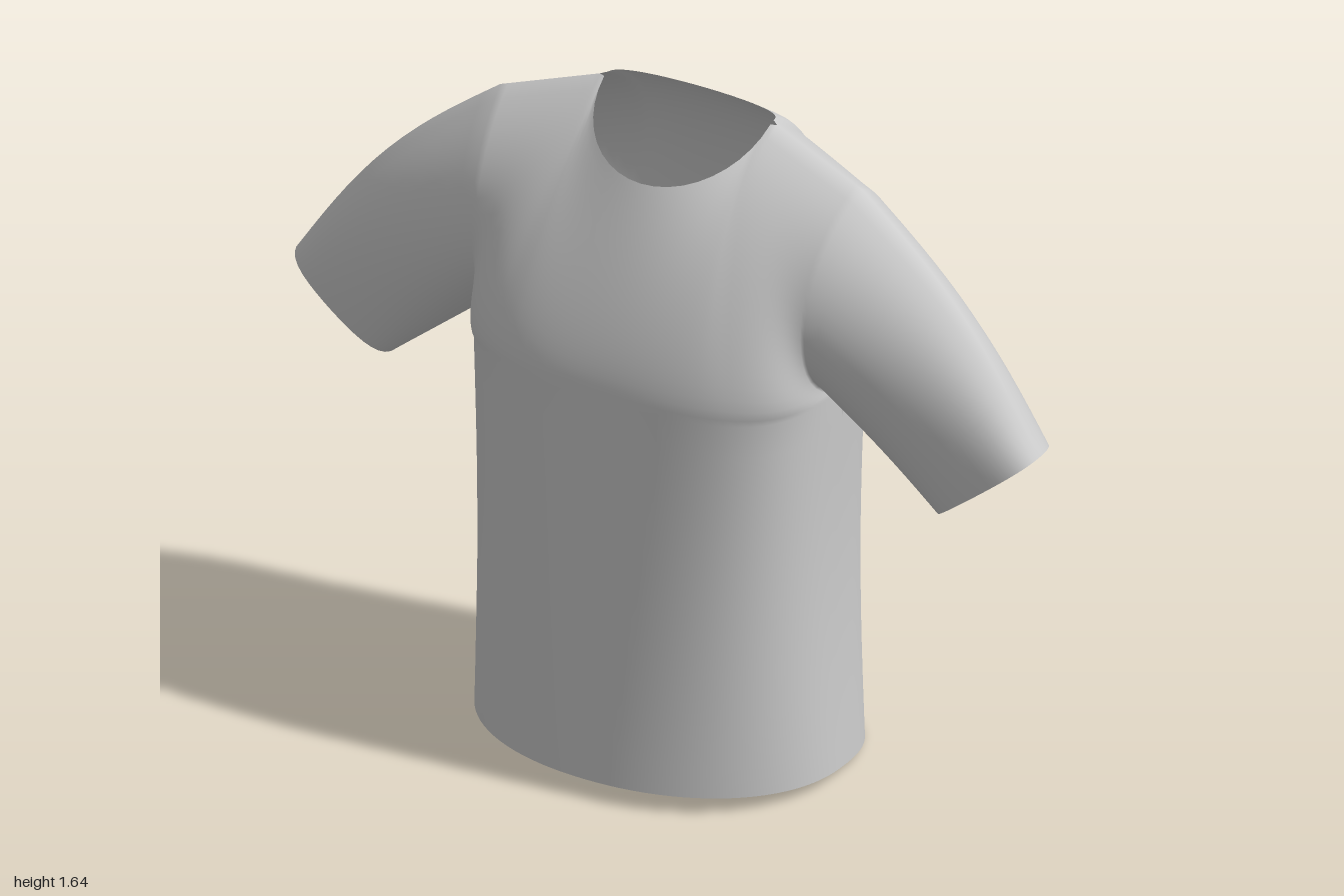
import * as THREE from 'three';
import { mergeVertices } from 'three/addons/utils/BufferGeometryUtils.js';

const lerp = THREE.MathUtils.lerp;
const V = (x, y, z) => new THREE.Vector3(x, y, z);
const NU = 48, NT = 18;       // columns across a panel, rows up the chest
const NECK = 0.9;             // angle where the shoulder line meets the neckline

// Cross-section of the trunk: side is +1 front / -1 back, h runs hem (0) to armpit (1)
function ring(side, phi, h) {
  const c = Math.cos(phi), s = Math.abs(Math.sin(phi));
  const n = side > 0 ? lerp(2.1, 3.2, h) : 2.7;
  const r = Math.pow(Math.pow(Math.abs(c), n) + Math.pow(s, n), -1 / n);
  const a = 0.465 - 0.01 * h - 0.015 * Math.sin(Math.PI * h);
  const zc = lerp(-0.02, -0.06, h);
  const zEnd = side > 0 ? lerp(0.36, 0.285, h) : lerp(-0.35, -0.355, h);
  const z = zc + (zEnd - zc) * s * r;
  return { p: V(a * c * r, lerp(0.026 + 0.065 * z, 1.03, h), z), s: Math.min(1, s * r) };
}

// Top edge: shoulder line, then neckline
function topEdge(side, phi) {
  const m = phi > Math.PI / 2 ? -1 : 1, q = m > 0 ? phi : Math.PI - phi;
  if (q < NECK) {
    const k = q / NECK;
    return { p: V(m * lerp(0.49, 0.225, k), lerp(1.555, 1.645, k), lerp(-0.085, -0.12, k)), g: 0 };
  }
  const psi = (q - NECK) / (Math.PI / 2 - NECK) * Math.PI / 2, g = Math.sin(psi);
  const p = side > 0
    ? V(m * 0.225 * Math.cos(psi), 1.645 - 0.125 * g, -0.12 + 0.22 * g)
    : V(m * 0.225 * Math.cos(psi), 1.645 - 0.015 * g, -0.12 - 0.08 * Math.pow(g, 0.75));
  return { p, g };
}

// Chest and upper back: each column is a cubic curve from armpit level to the top edge
function upper(side, phi, t) {
  const { p: b, s } = ring(side, phi, 1), { p: e, g } = topEdge(side, phi);
  const m = Math.cos(phi), w = 1 - s;
  const p1 = b.clone(), p2 = e.clone();
  if (side > 0) {
    p1.add(V(-0.015 * m * w, lerp(0.05, 0.1, s), 0.26 * w));
    p2.add(V(-0.04 * m * (1 - g), lerp(-0.105, -0.19, g), lerp(0.24, 0.1, g)));
  } else {
    p1.add(V(-0.015 * m * w, lerp(0.05, 0.27, s), -0.3 * w - 0.01 * s));
    p2.add(V(-0.04 * m * (1 - g), -0.105, lerp(-0.24, -0.13, g)));
  }
  return new THREE.CubicBezierCurve3(b, p1, p2, e).getPoint(t);
}

// Sleeve: from the armhole (k = 0..2, up the front then down the back) to the cuff
function sleeve(k, v) {
  const side = k <= 1 ? 1 : -1, t = k <= 1 ? k : 2 - k;
  const start = upper(side, 0, t), a = Math.PI * t, c = Math.cos(a);
  const cuff = V(0.87 - 0.13 * c, 0.905 - 0.105 * c,
    -0.075 + 0.045 * c * c + side * 0.125 * Math.sin(a));
  const bulge = 0.032 * t * Math.sin(Math.PI * v);
  return start.lerp(cuff, v).add(V(bulge, bulge, 0));
}

// Adds a grid of quads to the list of triangle corners
function grid(out, nu, nv, f, flip) {
  for (let j = 0; j < nv; j++) for (let i = 0; i < nu; i++) {
    const a = f(i / nu, j / nv), b = f((i + 1) / nu, j / nv);
    const c = f((i + 1) / nu, (j + 1) / nv), d = f(i / nu, (j + 1) / nv);
    for (const p of flip ? [a, c, b, a, d, c] : [a, b, c, a, c, d]) out.push(p.x, p.y, p.z);
  }
}

export function createModel() {
  const group = new THREE.Group();
  group.name = 'shirt';
  const fabric = new THREE.MeshStandardMaterial({ color: 0xcccccc, side: THREE.DoubleSide });
  fabric.name = 'light grey fabric';

  const corners = [], ranges = [];
  const part = (name, build) => {
    const from = corners.length / 3;
    build();
    ranges.push({ name, from, count: corners.length / 3 - from });
  };
  for (const side of [1, -1]) part(side > 0 ? 'frontPanel' : 'backPanel', () => {
    grid(corners, NU, 12, (u, v) => ring(side, u * Math.PI, v).p, side > 0);
    grid(corners, NU, NT, (u, v) => upper(side, u * Math.PI, v), side > 0);
  });
  for (const m of [1, -1]) part(m > 0 ? 'leftSleeve' : 'rightSleeve', () =>
    grid(corners, NT * 2, 14, (u, v) => sleeve(u * 2, v).multiply(V(m, 1, 1)), m > 0));

  // Weld everything so the normals run smoothly over the seams, then split into parts
  let whole = new THREE.BufferGeometry();
  whole.setAttribute('position', new THREE.Float32BufferAttribute(corners, 3));
  whole = mergeVertices(whole, 1e-4);
  whole.computeVertexNormals();
  for (const { name, from, count } of ranges) {
    const g = whole.clone();
    g.setIndex(Array.from(whole.index.array.slice(from, from + count)));
    const mesh = new THREE.Mesh(g.toNonIndexed(), fabric);
    mesh.name = name;
    group.add(mesh);
  }
  return group;
}
